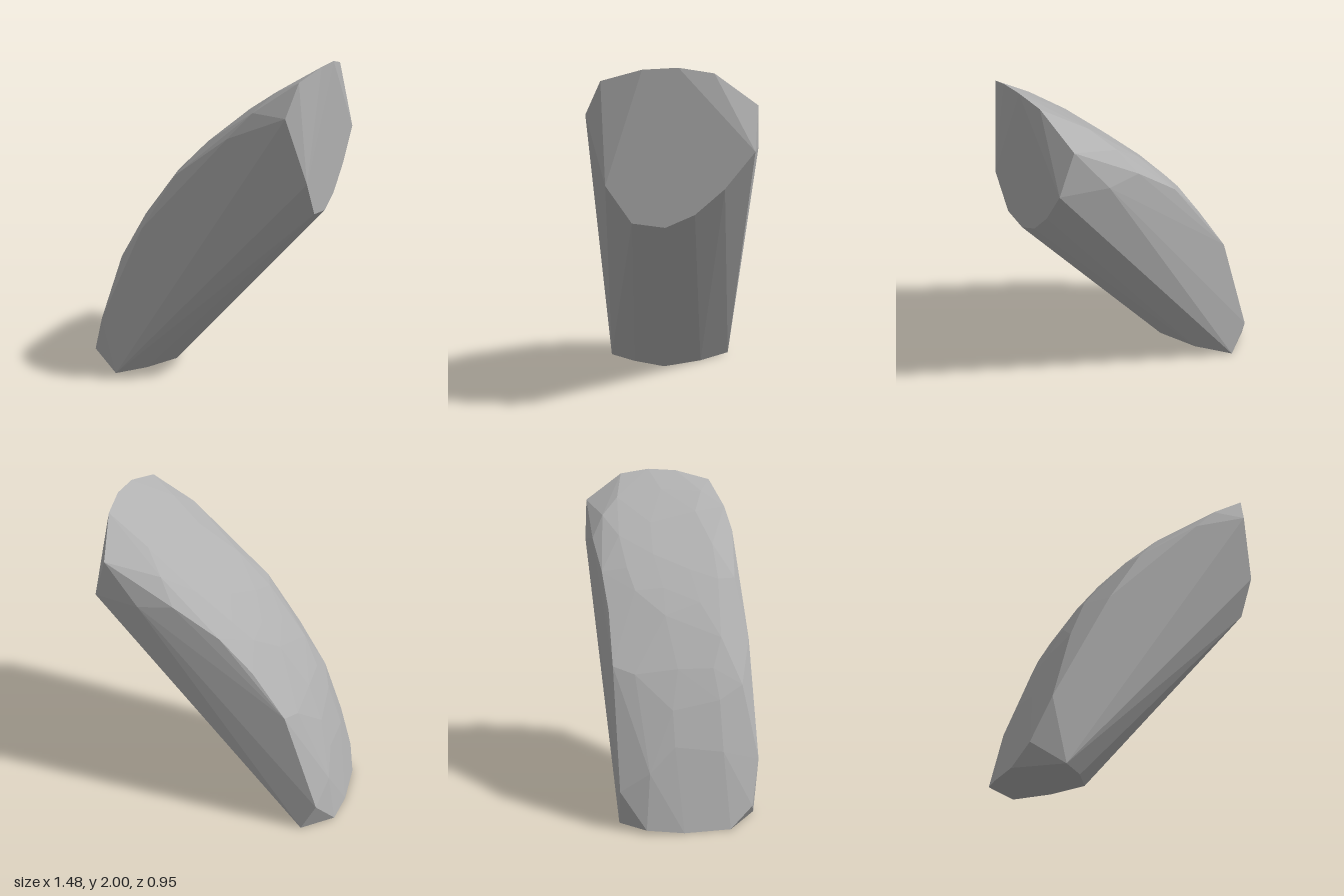
import * as THREE from 'three';
import { ConvexGeometry } from 'three/addons/geometries/ConvexGeometry.js';

// Height of the domed back above a plan position (x, z), found by bisection
// on the profile curve, which rounds over towards the long sides.
function domeHeight(x, z) {
  const target = x - 2.7 * z ** 4;
  let lo = 0, hi = 2;
  for (let i = 0; i < 40; i++) {
    const y = (lo + hi) / 2;
    const fx = -0.74 + 0.222 * y + 0.016 * y * y + 0.12 * y ** 3;
    if (fx < target) lo = y; else hi = y;
  }
  return lo;
}

export function createModel() {
  const stone = new THREE.MeshStandardMaterial({ color: 0xb0b0b0 });
  stone.name = 'greyStone';

  // Flat foot on the ground
  const foot = [
    [-0.5, 0, 0.4], [-0.735, 0, 0.2], [-0.74, 0, -0.07], [-0.71, 0.02, -0.28],
    [-0.52, 0, -0.41], [-0.36, 0, -0.21], [-0.25, 0, 0.04], [-0.36, 0, 0.24],
  ];
  // Upright cut face at the upper end
  const end = [
    [0.735, 1.38, 0.37], [0.735, 1.175, 0.23], [0.735, 1.15, 0.05], [0.735, 1.22, -0.11],
    [0.735, 1.36, -0.27], [0.735, 1.56, -0.43], [0.65, 1.8, -0.45], [0.71, 1.97, -0.21],
    [0.733, 2, -0.02], [0.728, 1.99, 0.17], [0.68, 1.93, 0.39], [0.64, 1.75, 0.475],
  ];
  // Creases where the dome meets the flat long sides
  const creases = [
    [-0.685, 0.11, 0.34], [-0.59, 0.36, 0.4], [-0.27, 1.01, 0.42], [-0.06, 1.35, 0.385],
    [0.3, 1.61, 0.46], [0.44, 1.76, 0.44],
    [-0.61, 0.22, -0.415], [-0.39, 0.9, -0.42], [-0.19, 1.19, -0.415], [0, 1.4, -0.43],
    [0.26, 1.58, -0.455], [0.46, 1.56, -0.48],
  ];
  // Facet corners of the dome in plan (x, z)
  const dome = [
    [-0.65, -0.25], [-0.62, -0.1], [-0.55, -0.1], [-0.45, -0.05], [-0.27, -0.09], [-0.15, -0.08],
    [0.03, -0.11], [0.24, -0.09], [0.52, 0.03], [-0.06, 0.1], [-0.22, 0.13], [-0.45, 0.16],
    [-0.53, 0.18], [-0.63, 0.18], [0.1, 0.28], [0.33, 0.22], [0.52, 0.3], [-0.35, 0.23],
    [-0.47, 0.33], [-0.44, -0.3], [-0.15, -0.25], [-0.03, -0.28], [0.17, -0.3], [0.35, -0.38],
    [0.46, -0.27], [-0.1, 0.27],
  ].map(([x, z]) => [x, domeHeight(x, z), z]);

  const points = [...foot, ...end, ...creases, ...dome].map((p) => new THREE.Vector3(...p));
  const rock = new THREE.Mesh(new ConvexGeometry(points), stone);
  rock.name = 'leaningRock';

  const group = new THREE.Group();
  group.name = 'rock';
  group.add(rock);
  return group;
}
